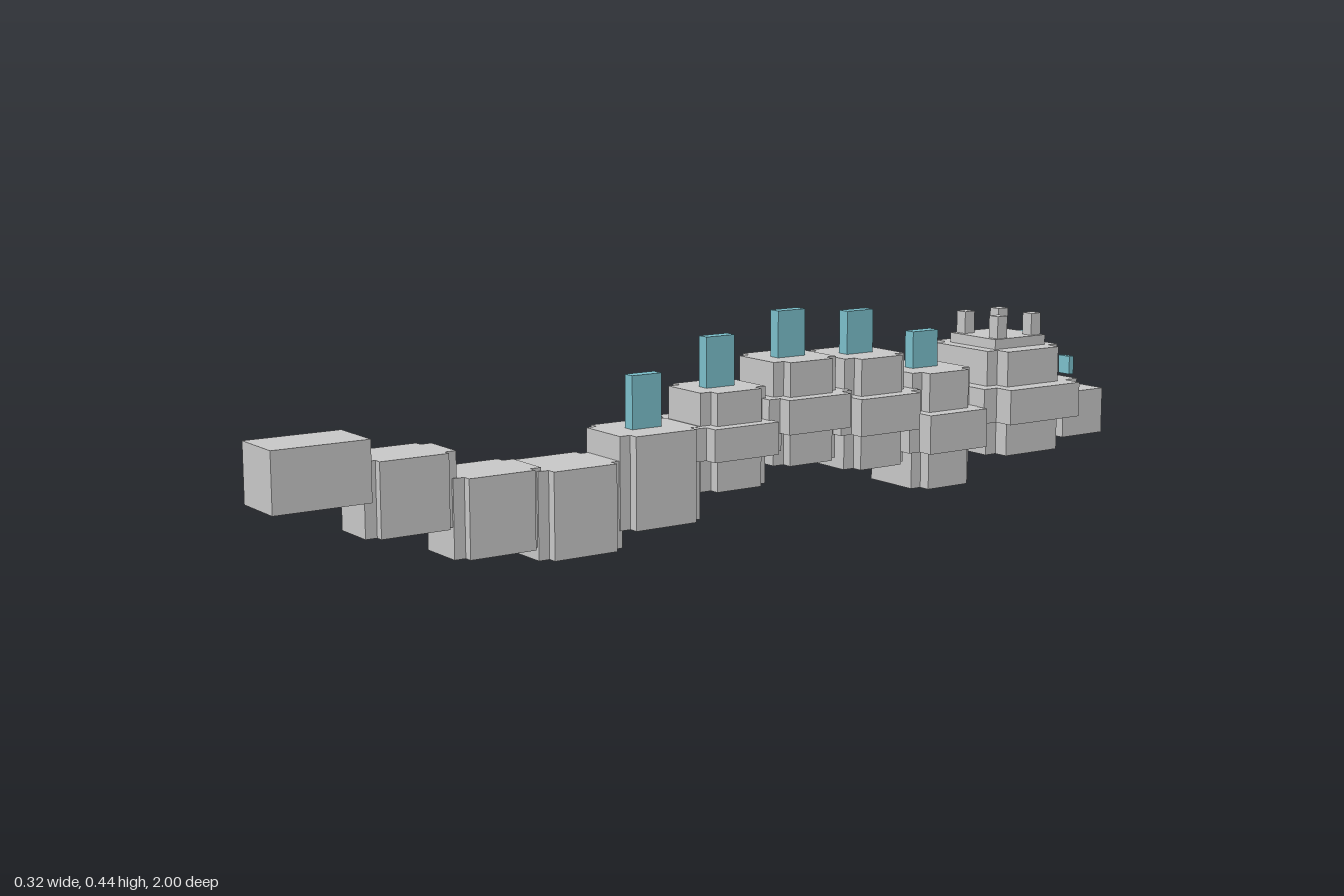
import * as THREE from 'three';

const grey = new THREE.MeshStandardMaterial({ color: 0xc8c8c8 });
grey.name = 'light grey';
const teal = new THREE.MeshStandardMaterial({ color: 0x7cc0cc });
teal.name = 'teal';

function add(parent, name, geometry, material) {
  const mesh = new THREE.Mesh(geometry, material);
  mesh.name = name;
  parent.add(mesh);
  return mesh;
}

// Box from half width, y range and z range, centred on x
function box(parent, name, material, x, hw, y0, y1, z0, z1) {
  const mesh = add(parent, name, new THREE.BoxGeometry(hw * 2, y1 - y0, z1 - z0), material);
  mesh.position.set(x, (y0 + y1) / 2, (z0 + z1) / 2);
}

// Block with notched upright corners: wide part (w, d) crossed with long part (n, l), all half sizes
function notched(parent, name, z, y0, y1, w, d, n, l) {
  const s = new THREE.Shape([
    [w, -d], [w, d], [n, d], [n, l], [-n, l], [-n, d],
    [-w, d], [-w, -d], [-n, -d], [-n, -l], [n, -l], [n, -d],
  ].map(([a, b]) => new THREE.Vector2(a, b)));
  const g = new THREE.ExtrudeGeometry(s, { depth: y1 - y0, bevelEnabled: false });
  g.rotateX(-Math.PI / 2);
  add(parent, name, g, grey).position.set(0, y0, z);
}

export function createModel() {
  const model = new THREE.Group();
  model.name = 'segmentedSerpent';

  // Head: core, wide cheek band, snout, crown plate with four horns, eyes
  const head = new THREE.Group();
  head.name = 'head';
  model.add(head);
  const hz = -0.782;
  notched(head, 'skull', hz, 0.089, 0.319, 0.119, 0.075, 0.085, 0.104);
  notched(head, 'cheekBand', hz, 0.166, 0.242, 0.16, 0.102, 0.115, 0.138);
  box(head, 'snout', grey, 0, 0.115, 0.112, 0.213, -1, -0.88);
  box(head, 'crownPlate', grey, 0, 0.074, 0.319, 0.341, -0.858, -0.71);
  for (const side of [-1, 1]) {
    for (const z of [-0.836, -0.736]) {
      box(head, 'horn', grey, side * 0.0535, 0.014, 0.341, 0.39, z - 0.014, z + 0.014);
    }
    box(head, 'eye', teal, side * 0.083, 0.017, 0.25, 0.29, -0.923, -0.91);
  }
  box(head, 'browGem', teal, 0, 0.014, 0.319, 0.341, -0.871, -0.858);

  // Body segments: z, bottom, top, core half width, band half width, spine top
  const body = [
    [-0.561, 0.034, 0.286, 0.094, 0.128, 0.366],
    [-0.378, 0.096, 0.332, 0.088, 0.12, 0.424],
    [-0.195, 0.124, 0.34, 0.083, 0.113, 0.438],
    [-0.014, 0.09, 0.293, 0.079, 0.106, 0.398],
  ];
  for (const [z, y0, y1, w, band, spine] of body) {
    const third = (y1 - y0) / 3;
    notched(model, 'bodyCore', z, y0, y1, w, 0.055, w * 0.72, 0.081);
    notched(model, 'bodyBand', z, y0 + third, y1 - third, band, 0.08, band * 0.72, 0.108);
    box(model, 'backSpine', teal, 0, 0.0134, y1, spine, z - 0.035, z + 0.035);
  }

  // Tail segments: z, bottom, top, half width
  const tail = [
    [0.167, 0.036, 0.226, 0.083],
    [0.352, 0, 0.176, 0.077],
    [0.534, 0.026, 0.183, 0.071],
    [0.716, 0.089, 0.235, 0.065],
  ];
  for (const [z, y0, y1, w] of tail) {
    notched(model, 'tailSegment', z, y0, y1, w, 0.072, w * 0.74, 0.096);
  }
  box(model, 'backSpine', teal, 0, 0.0134, 0.226, 0.335, 0.132, 0.202);
  box(model, 'tailTip', grey, 0, 0.0605, 0.159, 0.278, 0.802, 1);

  return model;
}
